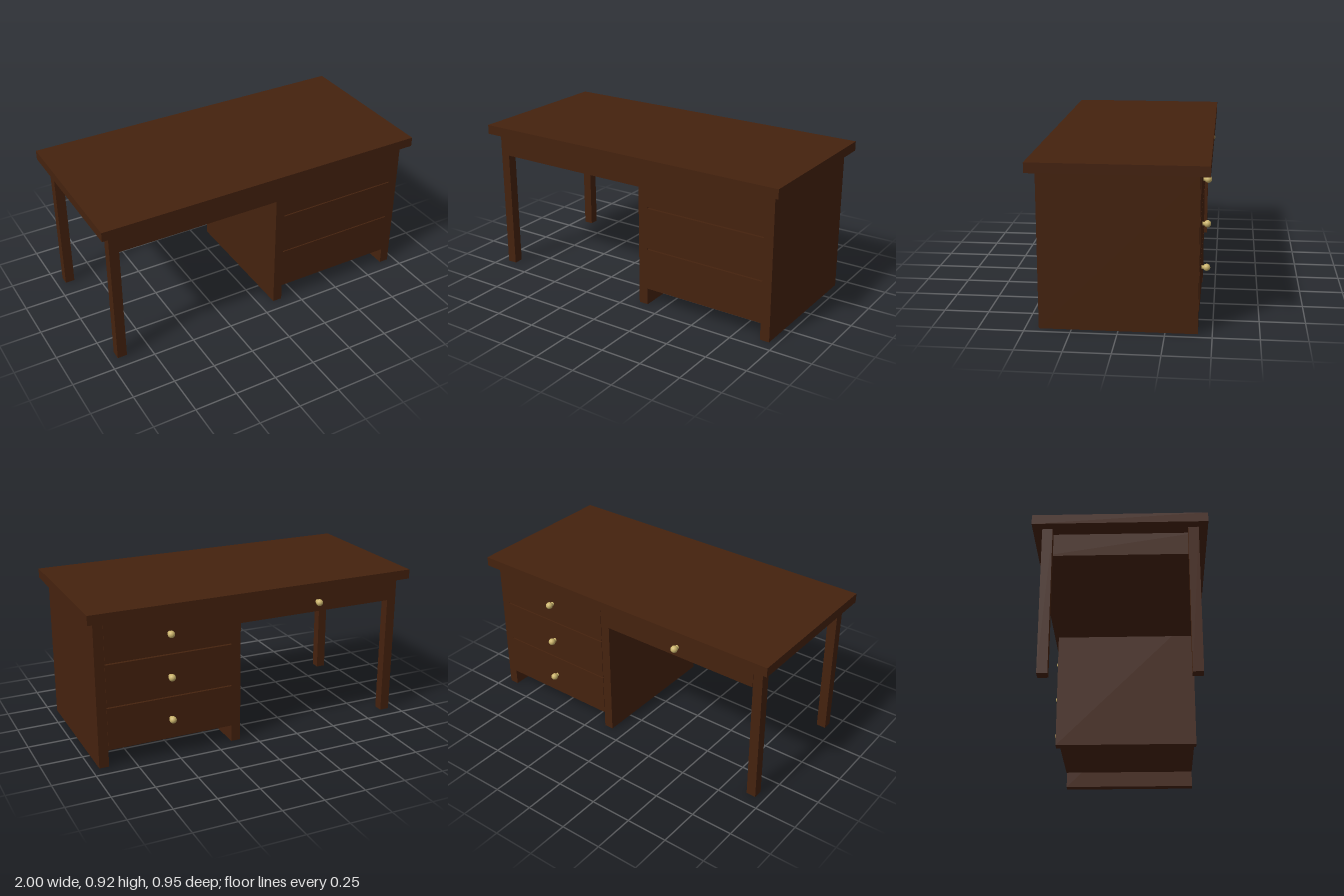
import * as THREE from 'three';

const wood = new THREE.MeshStandardMaterial({ color: 0x45220e });
wood.name = 'dark wood';
const brass = new THREE.MeshStandardMaterial({ color: 0xcbb46c });
brass.name = 'brass';

// Box given by its minimum and maximum on each axis
function box(name, [x0, x1], [y0, y1], [z0, z1]) {
  const mesh = new THREE.Mesh(new THREE.BoxGeometry(x1 - x0, y1 - y0, z1 - z0), wood);
  mesh.name = name;
  mesh.position.set((x0 + x1) / 2, (y0 + y1) / 2, (z0 + z1) / 2);
  return mesh;
}

// Round knob on a short neck, pointing to -z
function knob(x, y, z) {
  const profile = [new THREE.Vector2(0.012, 0), new THREE.Vector2(0.01, 0.006)];
  const radius = 0.0205, centre = 0.028;
  for (let i = 0; i <= 10; i++) {
    const a = THREE.MathUtils.lerp(-1.05, Math.PI / 2, i / 10);
    profile.push(new THREE.Vector2(Math.max(0, radius * Math.cos(a)), centre + radius * Math.sin(a)));
  }
  const mesh = new THREE.Mesh(new THREE.LatheGeometry(profile, 20), brass);
  mesh.name = 'knob';
  mesh.rotation.x = -Math.PI / 2;
  mesh.position.set(x, y, z);
  return mesh;
}

export function createModel() {
  const desk = new THREE.Group();
  desk.name = 'desk';
  const under = 0.862, back = -0.424, front = 0.426, drawerFace = -0.427;

  desk.add(box('desktop', [-1, 1], [under, 0.918], [-0.476, 0.476]));

  // Two square legs on the open side
  for (const z of [back, front - 0.057]) {
    desk.add(box('leg', [-0.947, -0.89], [0, under], [z, z + 0.057]));
  }

  // Side panels of the pedestal
  desk.add(box('innerPanel', [0.091, 0.148], [0, under], [back, front]));
  desk.add(box('outerPanel', [0.9, 0.957], [0, under], [back, front]));

  // Three full-depth drawers with open gaps between them
  for (const [y0, y1] of [[0.102, 0.352], [0.359, 0.607], [0.614, under]]) {
    desk.add(box('drawer', [0.148, 0.9], [y0, y1], [drawerFace, front]));
    desk.add(knob(0.524, (y0 + y1) / 2 - 0.002, drawerFace));
  }

  // Wide shallow drawer above the knee space
  desk.add(box('kneeDrawer', [-0.89, 0.091], [0.727, under], [drawerFace, front]));
  desk.add(knob(-0.4, 0.788, drawerFace));

  return desk;
}
